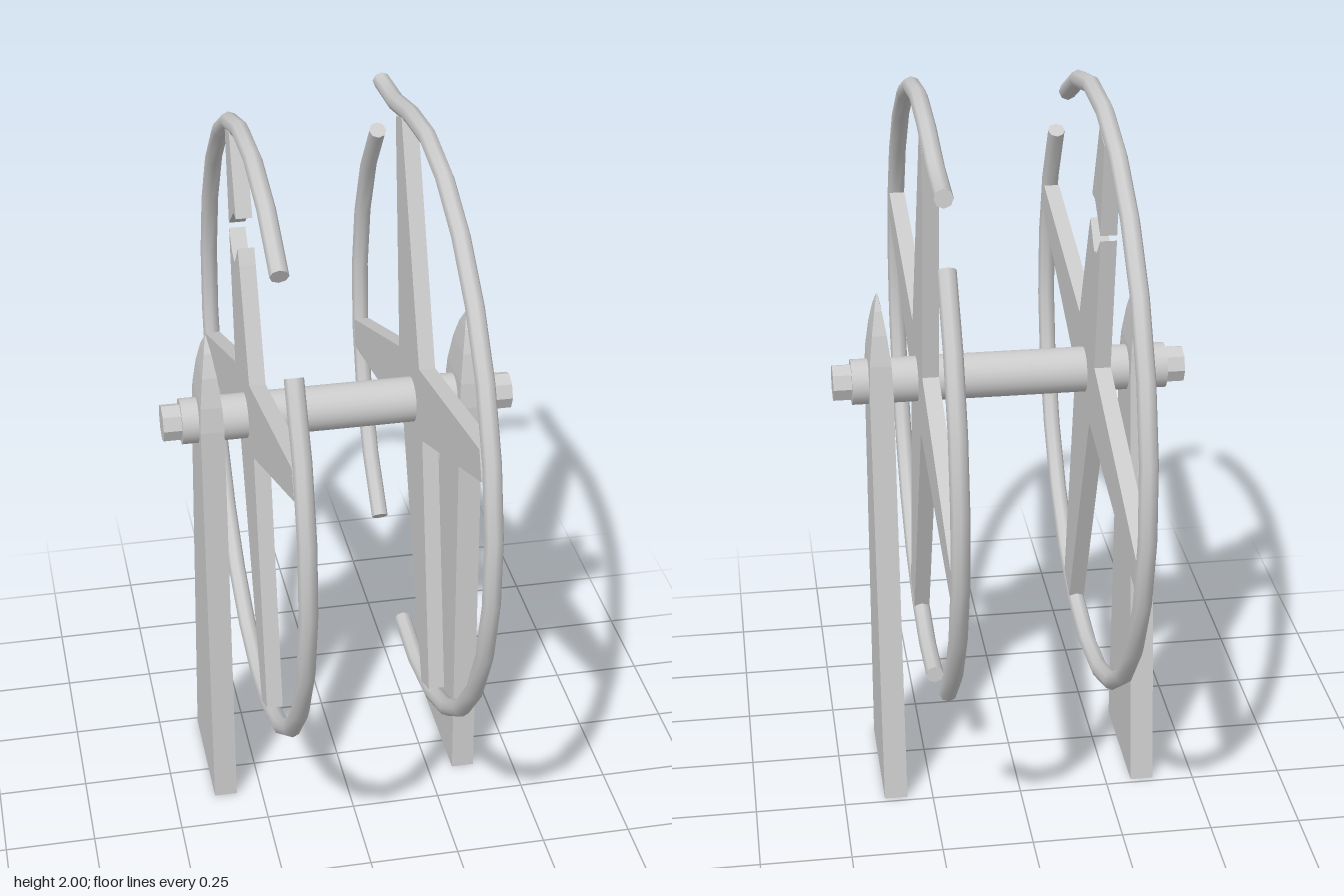
import * as THREE from 'three';
import { mergeGeometries } from 'three/addons/utils/BufferGeometryUtils.js';

const RIM_R = 0.822, RIM_Y = 1.157, TUBE = 0.0245, AXLE_Y = 1.195, WHEEL_X = 0.23;
const smooth = new THREE.MeshStandardMaterial({ color: 0xcccccc });
const flat = new THREE.MeshStandardMaterial({ color: 0xcccccc, flatShading: true });

function add(parent, name, geometry, material = flat) {
  const mesh = new THREE.Mesh(geometry, material);
  mesh.name = name;
  parent.add(mesh);
  return mesh;
}

// Points on the rim in the yz plane; angles in degrees from +z towards +y
function arc(from, to) {
  const n = Math.max(2, Math.round(Math.abs(to - from) / 14.5));
  return Array.from({ length: n + 1 }, (_, i) => {
    const a = THREE.MathUtils.degToRad(from + ((to - from) * i) / n);
    return new THREE.Vector3(0, RIM_Y + RIM_R * Math.sin(a), RIM_R * Math.cos(a));
  });
}

// Bar swept along the points, closed at both broken ends
function rimPiece(points) {
  const curve = new THREE.CatmullRomCurve3(points);
  const parts = [new THREE.TubeGeometry(curve, points.length - 1, TUBE, 8)];
  for (const t of [0, 1]) {
    const dir = curve.getTangentAt(t).multiplyScalar(t ? 1 : -1);
    const q = new THREE.Quaternion().setFromUnitVectors(new THREE.Vector3(0, 0, 1), dir);
    const cap = new THREE.CircleGeometry(TUBE, 8).applyQuaternion(q);
    const p = curve.getPointAt(t);
    parts.push(cap.translate(p.x, p.y, p.z));
  }
  return mergeGeometries(parts);
}

// Flat plate from a [z, y] outline
function plate(outline, thickness) {
  const shape = new THREE.Shape(outline.map(([z, y]) => new THREE.Vector2(z, y)));
  return new THREE.ExtrudeGeometry(shape, { depth: thickness, bevelEnabled: false })
    .translate(0, 0, -thickness / 2).rotateY(-Math.PI / 2);
}

// Post from rectangular sections [y, zBack, zFront, halfWidth], drawn in to a point
function postGeometry() {
  const levels = [
    [0, -0.235, 0.127, 0.032], [1.2, -0.087, 0.087, 0.032], [1.27, -0.078, 0.078, 0.029],
    [1.35, -0.058, 0.058, 0.02], [1.41, -0.032, 0.032, 0.01], [1.45, -0.002, 0.002, 0.001],
  ];
  const rings = levels.map(([y, z0, z1, h]) => [[h, y, z1], [h, y, z0], [-h, y, z0], [-h, y, z1]]);
  const pos = [];
  const quad = (a, b, c, d) => pos.push(...a, ...b, ...c, ...a, ...c, ...d);
  for (let k = 0; k < rings.length - 1; k++) {
    for (let i = 0; i < 4; i++) {
      const j = (i + 1) % 4;
      quad(rings[k][i], rings[k][j], rings[k + 1][j], rings[k + 1][i]);
    }
  }
  quad(...[...rings[0]].reverse());
  quad(...rings[rings.length - 1]);
  const g = new THREE.BufferGeometry();
  g.setAttribute('position', new THREE.Float32BufferAttribute(pos, 3));
  g.computeVertexNormals();
  return g;
}

export function createModel() {
  const model = new THREE.Group();
  model.name = 'brokenWheelOnStand';

  // Axle with a collar edge and a nut at each end
  add(model, 'axle', new THREE.CylinderGeometry(0.062, 0.062, 0.86, 24).rotateZ(Math.PI / 2), smooth)
    .position.y = AXLE_Y;
  for (const s of [1, -1]) {
    add(model, 'axleNut', new THREE.CylinderGeometry(0.051, 0.051, 0.06, 8).rotateZ(Math.PI / 2))
      .position.set(s * 0.45, AXLE_Y, 0);
    add(model, 'post', postGeometry()).position.x = s * 0.354;
  }

  // Four tapered spokes; the upper one starts at the first corner and ends at the last
  const upperRight = [-0.165, 1.27], upperLeft = [0.08, 1.33];
  const lowerSpokes = [
    upperRight, [-0.79, 1.03], [-0.775, 0.945], [-0.1, 1.08], [0.19, 0.375],
    [0.28, 0.415], [0.135, 1.14], [0.76, 1.39], [0.73, 1.465], upperLeft,
  ];

  // Left wheel: whole spokes, rim broken twice with one end bent outwards
  const leftWheel = new THREE.Group();
  leftWheel.name = 'leftWheel';
  leftWheel.position.x = WHEEL_X;
  const bentEnd = [[1.905, -0.41], [1.895, -0.46], [1.905, -0.54]]
    .map(([y, z]) => new THREE.Vector3(0, y, z));
  add(leftWheel, 'rimMain', rimPiece([...arc(-101, 106), ...bentEnd]), smooth);
  add(leftWheel, 'rimBack', rimPiece(arc(135, 233)), smooth);
  add(leftWheel, 'spokes', plate([...lowerSpokes, [-0.18, 1.945], [-0.25, 1.92]], 0.044));

  // Right wheel: one break in the rim, upper spoke snapped in two
  const rightWheel = new THREE.Group();
  rightWheel.name = 'rightWheel';
  rightWheel.position.x = -WHEEL_X;
  add(rightWheel, 'rim', rimPiece(arc(56, 398)), smooth);
  add(rightWheel, 'spokes', plate([
    ...lowerSpokes, [-0.047, 1.62], [-0.068, 1.66], [-0.13, 1.59], [-0.17, 1.6], [-0.217, 1.65],
  ], 0.044));
  add(rightWheel, 'snappedSpokeEnd', plate([
    [-0.18, 1.945], [-0.09, 1.735], [-0.13, 1.735], [-0.218, 1.665], [-0.25, 1.92],
  ], 0.044));

  model.add(leftWheel, rightWheel);
  return model;
}
